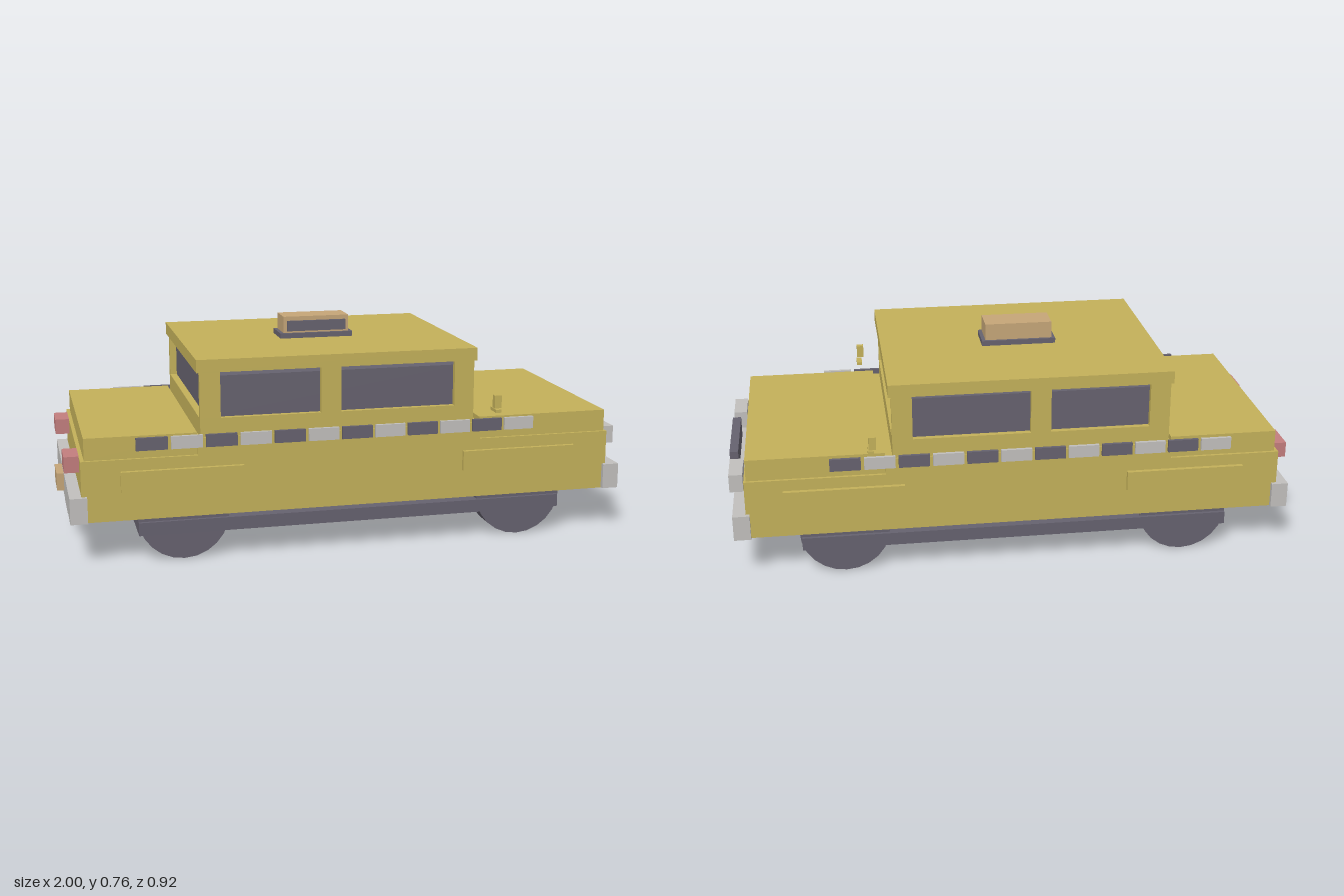
import * as THREE from 'three';

const mat = (name, color) => new THREE.MeshStandardMaterial({ name, color });

export function createModel() {
  const car = new THREE.Group();
  car.name = 'taxi';
  const yellow = mat('yellow paint', 0xc4b15a);
  const dark = mat('dark grey', 0x66626f);
  const silver = mat('light grey', 0xc2c0be);
  const tan = mat('tan', 0xc6a678);
  const red = mat('tail light red', 0xc37e7e);

  // Box given by its min and max on each axis
  const box = (name, m, [x0, x1], [y0, y1], [z0, z1]) => {
    const mesh = new THREE.Mesh(new THREE.BoxGeometry(x1 - x0, y1 - y0, z1 - z0), m);
    mesh.position.set((x0 + x1) / 2, (y0 + y1) / 2, (z0 + z1) / 2);
    mesh.name = name;
    car.add(mesh);
  };
  // The same box on both sides of the car
  const pair = (name, m, x, y, [z0, z1]) => {
    box(name + 'Left', m, x, y, [z0, z1]);
    box(name + 'Right', m, x, y, [-z1, -z0]);
  };

  // Body, hood and trunk
  box('lowerBody', yellow, [-0.935, 0.93], [0.147, 0.357], [-0.405, 0.405]);
  box('middleBody', yellow, [-0.545, 0.45], [0.357, 0.415], [-0.405, 0.405]);
  box('hood', yellow, [0.45, 0.922], [0.357, 0.433], [-0.395, 0.395]);
  box('trunk', yellow, [-0.922, -0.545], [0.357, 0.433], [-0.395, 0.395]);
  box('chassis', dark, [-0.75, 0.745], [0.092, 0.137], [-0.416, 0.416]);

  // Cabin with recessed glass and an open slit under the roof
  box('cabinBase', yellow, [-0.535, 0.425], [0.415, 0.48], [-0.4, 0.4]);
  box('glass', dark, [-0.51, 0.4], [0.48, 0.62], [-0.38, 0.38]);
  for (const x of [[-0.535, -0.465], [-0.12, -0.05], [0.355, 0.425]])
    pair('pillar', yellow, x, [0.48, 0.636], [0.38, 0.4]);
  box('roof', yellow, [-0.545, 0.435], [0.636, 0.68], [-0.403, 0.403]);

  // Roof sign with a panel on one side
  box('signBase', dark, [-0.19, 0.075], [0.68, 0.698], [-0.063, 0.063]);
  box('signBox', tan, [-0.177, 0.062], [0.698, 0.757], [-0.053, 0.053]);
  box('signPanel', dark, [-0.165, 0.05], [0.705, 0.742], [0.053, 0.062]);

  // Checker strips, the colours swapped on the other side
  for (let i = 0; i < 12; i++) {
    const x = -0.7 + i * 0.117;
    const span = [x - 0.053, x + 0.053];
    box('checkerLeft', i % 2 ? silver : dark, span, [0.388, 0.431], [0.413, 0.425]);
    box('checkerRight', i % 2 ? dark : silver, span, [0.388, 0.431], [-0.425, -0.413]);
  }

  // Raised side panels over the wheels
  for (const x of [[-0.805, -0.39], [0.387, 0.802]])
    pair('sidePanel', yellow, x, [0.247, 0.317], [0.4, 0.42]);

  // Wheels
  const wheelGeo = new THREE.CylinderGeometry(0.156, 0.156, 0.088, 24).rotateX(Math.PI / 2);
  for (const x of [-0.597, 0.597]) for (const z of [-0.36, 0.36]) {
    const wheel = new THREE.Mesh(wheelGeo, dark);
    wheel.name = 'wheel';
    wheel.position.set(x, 0.156, z);
    car.add(wheel);
  }

  // Bumpers, steps and plates at both ends
  box('frontBumper', silver, [0.917, 0.975], [0.148, 0.237], [-0.42, 0.42]);
  box('rearBumper', silver, [-0.975, -0.917], [0.148, 0.237], [-0.42, 0.42]);
  box('frontStep', silver, [0.927, 0.968], [0.092, 0.148], [-0.095, 0.095]);
  box('rearStep', silver, [-0.968, -0.927], [0.092, 0.148], [-0.095, 0.095]);
  box('frontPlate', silver, [0.97, 1], [0.17, 0.232], [-0.068, 0.068]);
  box('rearPlate', tan, [-1, -0.97], [0.17, 0.232], [-0.068, 0.068]);

  // Lights and grille
  pair('headlight', silver, [0.935, 0.982], [0.297, 0.36], [0.212, 0.348]);
  box('grille', dark, [0.955, 0.985], [0.293, 0.363], [-0.158, 0.158]);
  pair('tailLight', red, [-0.985, -0.935], [0.305, 0.36], [0.222, 0.34]);

  // Side mirrors
  pair('mirrorArm', yellow, [0.49, 0.51], [0.457, 0.468], [0.398, 0.453]);
  pair('mirror', yellow, [0.482, 0.507], [0.475, 0.52], [0.438, 0.46]);

  return car;
}
